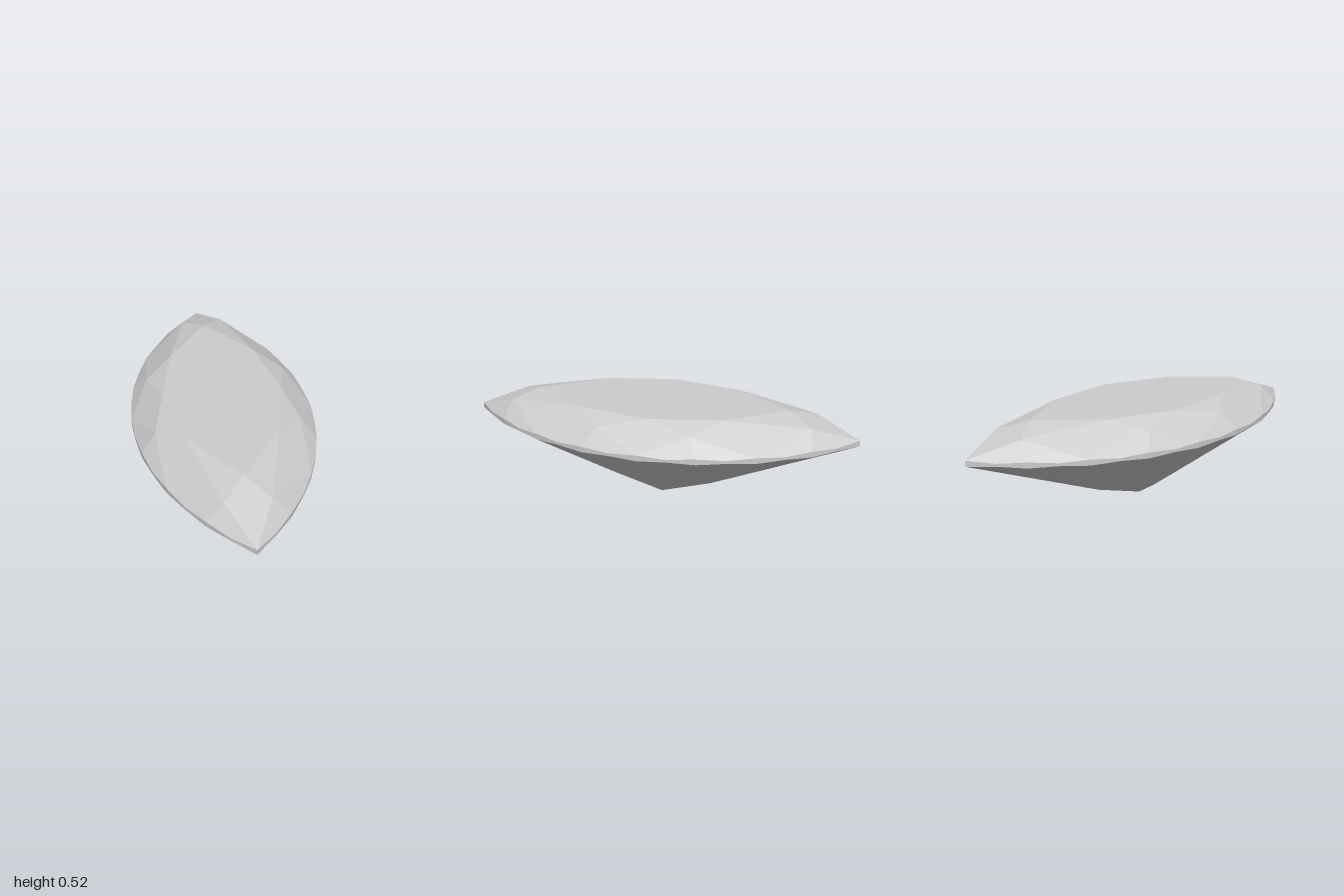
import * as THREE from 'three';

const HALF_WIDTH = 0.46;
const RADIUS = (1 + HALF_WIDTH ** 2) / (2 * HALF_WIDTH); // arc of each long side
const SWEEP = Math.asin(1 / RADIUS);
const TABLE_Y = 0.522;
const CENTRE = new THREE.Vector3(0, 0.38, 0);

// Point k (0 = side, 8 = tip) of a quarter of the girdle outline
function outline(k, y) {
  const a = (SWEEP * k) / 8;
  const x = k === 8 ? 0 : RADIUS * Math.cos(a) - (RADIUS - HALF_WIDTH);
  return new THREE.Vector3(x, y, RADIUS * Math.sin(a));
}

// Scalloped edges of the girdle: facet corners at even k, dips at odd k
const upper = (k) => outline(k, k % 2 ? 0.39 : 0.398);
const lower = (k) => outline(k, k % 2 ? 0.376 : 0.369);

// Facets of one quarter are mirrored to all four and turned outward
function facetMesh(name, facets, material) {
  const positions = [];
  for (const sx of [1, -1]) for (const sz of [1, -1]) {
    for (const facet of facets) {
      const p = facet.map((v) => new THREE.Vector3(v.x * sx, v.y, v.z * sz));
      for (let i = 1; i < p.length - 1; i++) {
        const tri = new THREE.Triangle(p[0], p[i], p[i + 1]);
        const out = tri.getMidpoint(new THREE.Vector3()).sub(CENTRE);
        const flip = tri.getNormal(new THREE.Vector3()).dot(out) < 0;
        for (const v of flip ? [tri.a, tri.c, tri.b] : [tri.a, tri.b, tri.c]) {
          positions.push(v.x, v.y, v.z);
        }
      }
    }
  }
  const geometry = new THREE.BufferGeometry();
  geometry.setAttribute('position', new THREE.Float32BufferAttribute(positions, 3));
  geometry.computeVertexNormals();
  const mesh = new THREE.Mesh(geometry, material);
  mesh.name = name;
  return mesh;
}

export function createModel() {
  const group = new THREE.Group();
  group.name = 'marquiseGem';
  const material = new THREE.MeshStandardMaterial({ color: 0xcccccc, flatShading: true });
  const V = (x, y, z) => new THREE.Vector3(x, y, z);

  // Key corners: table, star tips, pavilion breaks and bottom point
  const tableSide = V(0.3, TABLE_Y, 0);
  const tableCorner = V(0.22, TABLE_Y, 0.365);
  const tableTip = V(0, TABLE_Y, 0.65);
  const starSide = V(0.36, 0.477, 0.23);
  const starTip = V(0.108, 0.477, 0.775);
  const breakSide = V(0.12, 0.075, 0);
  const breakTip = V(0, 0.075, 0.262);
  const culet = V(0, 0, 0);

  // Flat table on top
  group.add(facetMesh('table', [[V(0, TABLE_Y, 0), tableSide, tableCorner, tableTip]], material));

  // Star facets, kites and upper girdle facets
  const crown = [
    [tableSide, tableCorner, starSide],
    [tableCorner, tableTip, starTip],
    [tableSide, starSide, upper(0)],
    [tableCorner, starSide, upper(4), starTip],
    [tableTip, starTip, upper(8)],
  ];
  // Lower girdle facets fan from the breaks; the main facet reaches the bottom point
  const pavilion = [[culet, breakTip, lower(4), breakSide]];
  for (const k of [0, 2, 4, 6]) {
    crown.push([k < 4 ? starSide : starTip, upper(k), upper(k + 1), upper(k + 2)]);
    pavilion.push([k < 4 ? breakSide : breakTip, lower(k), lower(k + 1), lower(k + 2)]);
  }
  group.add(facetMesh('crown', crown, material));
  group.add(facetMesh('pavilion', pavilion, material));

  // Thin upright band around the widest outline
  const girdle = [];
  for (let k = 0; k < 8; k++) girdle.push([lower(k), upper(k), upper(k + 1), lower(k + 1)]);
  group.add(facetMesh('girdle', girdle, material));

  return group;
}
